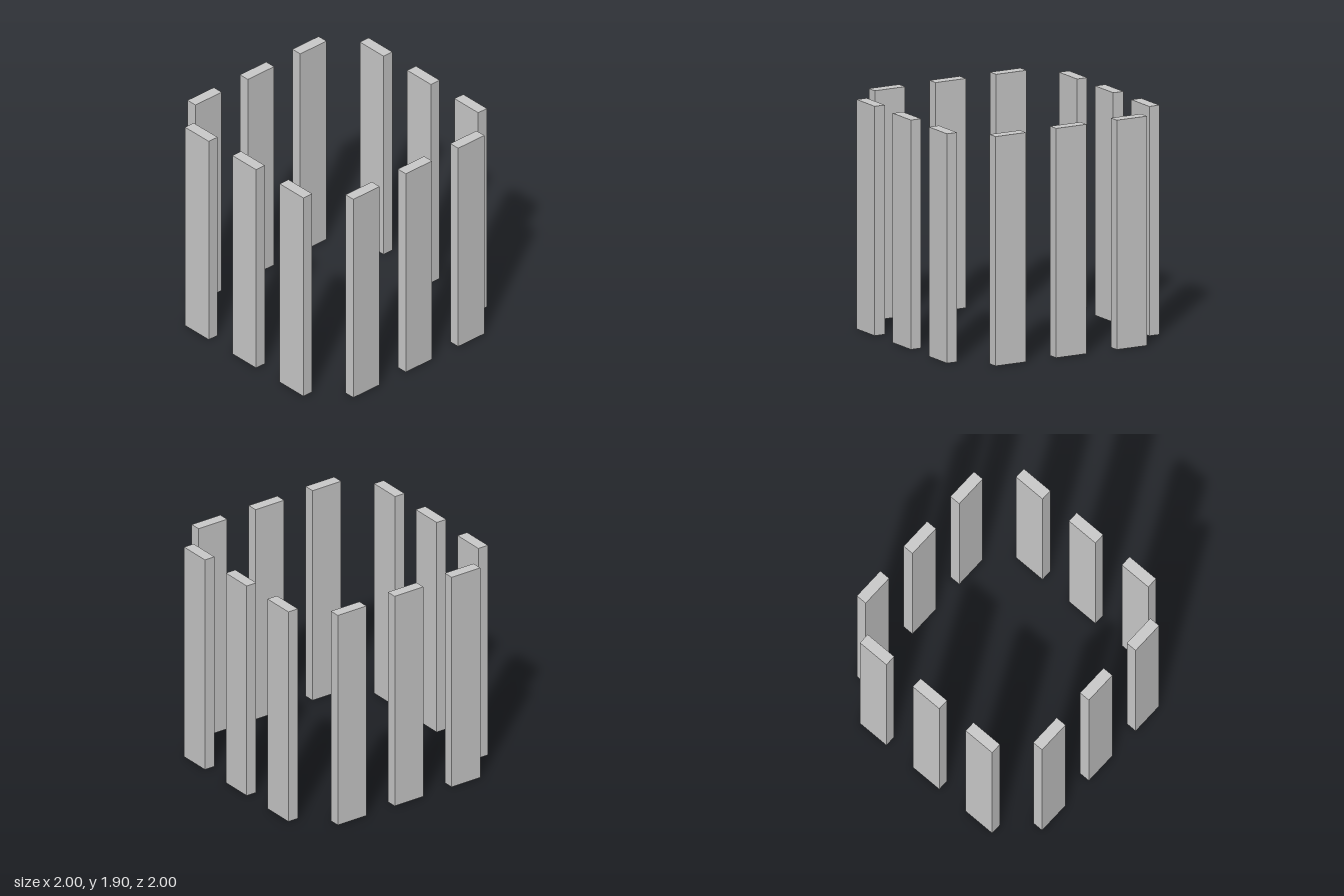
import * as THREE from 'three';

const HEIGHT = 1.905, WIDTH = 0.286, THICKNESS = 0.095, SPACING = 0.571;

export function createModel() {
  const model = new THREE.Group();
  model.name = 'slatEnclosure';
  const material = new THREE.MeshStandardMaterial({ color: 0xcccccc });
  const slat = new THREE.BoxGeometry(WIDTH, HEIGHT, THICKNESS);

  // Four sides of three upright slats, each side a quarter turn from the last
  ['front', 'left', 'back', 'right'].forEach((sideName, i) => {
    const side = new THREE.Group();
    side.name = `${sideName}Side`;
    side.rotation.y = i * Math.PI / 2;
    for (let j = -1; j <= 1; j++) {
      const mesh = new THREE.Mesh(slat, material);
      mesh.name = `${sideName}Slat${j + 2}`;
      mesh.position.set(j * SPACING, HEIGHT / 2, 1 - THICKNESS / 2);
      side.add(mesh);
    }
    model.add(side);
  });
  return model;
}
